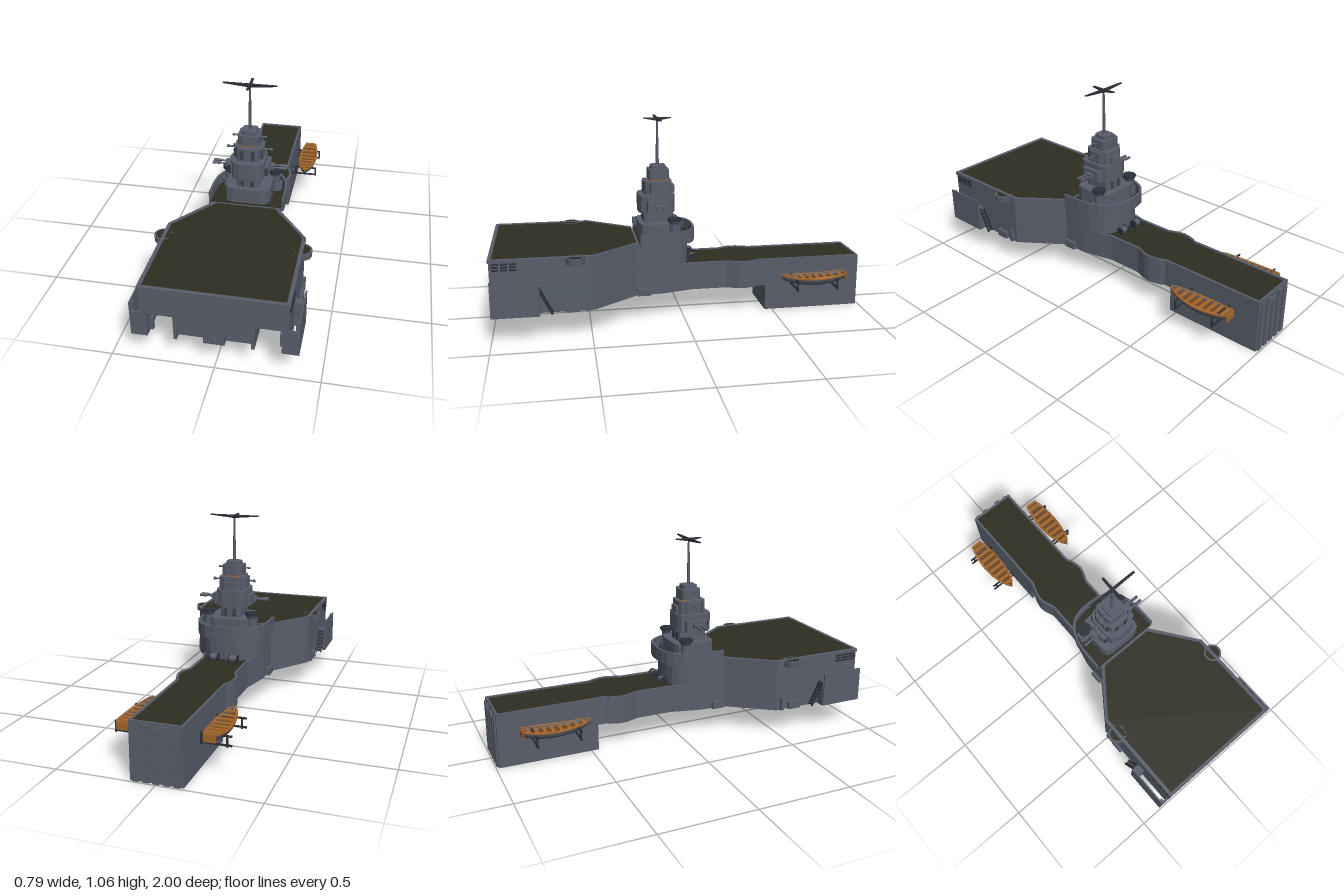
import * as THREE from 'three';

const mat = (name, color) => Object.assign(new THREE.MeshStandardMaterial({ color }), { name });

export function createModel() {
  const hullGrey = mat('hull grey', 0x575d6a);
  const deckOlive = mat('deck olive', 0x2e2d21);
  deckOlive.side = THREE.DoubleSide;
  const wood = mat('boat wood', 0xa3662b);
  const darkWood = mat('dark wood', 0x6b4524);
  const dark = mat('dark steel', 0x2c2f38);
  const boatGrey = mat('boat shell grey', 0x575d6a);
  boatGrey.side = THREE.DoubleSide;

  const model = new THREE.Group();
  let target = model;
  const add = (name, geo, m = hullGrey) => {
    const mesh = new THREE.Mesh(geo, m);
    mesh.name = name;
    target.add(mesh);
    return mesh;
  };
  // box given by its limits
  const box = (name, x0, x1, y0, y1, z0, z1, m) =>
    add(name, new THREE.BoxGeometry(Math.abs(x1 - x0), y1 - y0, z1 - z0)
      .translate((x0 + x1) / 2, (y0 + y1) / 2, (z0 + z1) / 2), m);
  const cyl = (name, r0, r1, y0, y1, x, z, m, n = 16) =>
    add(name, new THREE.CylinderGeometry(r1, r0, y1 - y0, n).translate(x, (y0 + y1) / 2, z), m);
  const barrel = (name, r, x0, x1, y, z, m) =>
    add(name, new THREE.CylinderGeometry(r, r, Math.abs(x1 - x0), 8).rotateZ(Math.PI / 2)
      .translate((x0 + x1) / 2, y, z), m);
  // horizontal slab from an [x, z] outline
  const path = pts => pts.map(([x, z]) => new THREE.Vector2(x, -z));
  const slabGeo = (pts, y0, y1, hole) => {
    const shape = new THREE.Shape(path(pts));
    if (hole) shape.holes.push(new THREE.Path(path(hole)));
    return new THREE.ExtrudeGeometry(shape, { depth: y1 - y0, bevelEnabled: false })
      .rotateX(-Math.PI / 2).translate(0, y0, 0);
  };
  const slab = (name, pts, y0, y1, m, hole) => add(name, slabGeo(pts, y0, y1, hole), m);
  const full = half => [...half, ...half.filter(p => p[0] > 0).reverse().map(([x, z]) => [-x, z])];
  const inset = (half, t, z0, z1) => half.map(([x, z]) => [x - t, Math.min(z1, Math.max(z0, z))]);
  const both = fn => [1, -1].forEach(fn);
  // wall following an outline on one side
  const strip = (name, outer, inner, y0, y1, s) =>
    slab(name, [...outer, ...[...inner].reverse()].map(([x, z]) => [x * s, z]), y0, y1);

  // long lower hull: open below, thin walls, deck inside
  const lower = [[.345, .995], [.345, .485], [.175, .25], [.17, .12], [.15, .03], [.13, -.05], [.13, -.24],
    [.142, -.27], [.154, -.3], [.158, -.33], [.154, -.36], [.142, -.4], [.13, -.42], [.13, -.985]];
  const lowerIn = inset(lower, .013, -.975, .985);
  both(s => strip('hullSideWall', lower, inset(lower, .013, -.985, .995), .14, .29, s));
  slab('lowerDeck', full(lowerIn), .276, .284, deckOlive);
  box('sternBlock', -.13, .13, 0, .274, -.985, -.46);
  box('sternRim', -.13, .13, .27, .29, -.985, -.973);
  for (let i = -2; i <= 2; i++) box('sternRib', i * .05 - .015, i * .05 + .015, 0, .262, -.994, -.98);
  both(s => box('sternCleat', s * .03, s * .06, .25, .28, -1, -.98));
  both(s => box('sternCleat', s * .09, s * .11, .25, .28, -.995, -.98));

  // raised fore hull
  const upper = [[.345, .995], [.345, .485], [.17, .25]];
  const upperIn = inset(upper, .014, .25, .982);
  slab('foreHullWall', full(upper), .275, .42, hullGrey, full(inset(upper, .014, .262, .982)));
  const rim = [[.35, 1], [.35, .483], [.172, .245]];
  slab('foreDeckRim', full(rim), .41, .426, hullGrey, full(inset(rim, .018, .25, .982)));
  slab('foreDeck', full(upperIn), .414, .422, deckOlive);

  // bow: centre block with slots, docks at the sides
  const face = new THREE.Shape([[-.19, .28], [-.19, .14], [-.175, .14], [-.175, .195], [-.05, .195], [-.05, .14],
    [.05, .14], [.05, .195], [.175, .195], [.175, .14], [.19, .14], [.19, .28]].map(p => new THREE.Vector2(...p)));
  add('bowFace', new THREE.ExtrudeGeometry(face, { depth: .035, bevelEnabled: false }).translate(0, 0, .96));
  box('bowBlock', -.19, .19, .14, .276, .7, .96);
  both(s => {
    box('bowSlot', s * .05, s * .175, .177, .195, .96, .966, dark);
    box('dockCeiling', s * .19, s * .34, .266, .276, .7, .99);
    box('dockBackWall', s * .19, s * .34, .14, .276, .69, .7);
    box('dockSideWall', s * .315, s * .34, .14, .276, .7, .99);
    box('dockPost', s * .3, s * .315, .14, .21, .93, .95);
    // side gallery beside the bow
    box('galleryFront', s * .315, s * .395, .14, .275, .985, .995);
    box('galleryOuterWall', s * .387, s * .395, .14, .325, .76, .995);
    box('galleryOuterPost', s * .375, s * .39, .14, .32, .97, .985);
    box('galleryLanding', s * .34, s * .39, .14, .275, .755, .8);
    for (let i = 0; i < 7; i++) {
      const y = .15 + i * .018, z = .695 + i * .009;
      box('stairStep', s * .355, s * .38, y, y + .006, z, z + .012, dark);
    }
    [.353, .38].forEach(x => {
      const rail = add('stairStringer', new THREE.BoxGeometry(.005, .15, .012), dark);
      rail.position.set(s * x, .21, .728);
      rail.rotation.x = .46;
    });
    // round side sponson
    cyl('sponson', .046, .048, .388, .422, s * .345, .575, hullGrey, 24);
    cyl('sponsonDeck', .037, .037, .42, .4235, s * .345, .575, deckOlive, 24);
    // louvres
    for (let r = 0; r < 3; r++) for (let c = 0; c < 3; c++)
      box('louvre', s * .34, s * .352, .368 + r * .015, .376 + r * .015, .862 + c * .043, .896 + c * .043, dark);
    // fenders along the lower edge
    box('fender', s * .34, s * .362, .14, .18, .56, .63);
    box('fender', s * .34, s * .36, .14, .21, .51, .53);
    box('fender', s * .16, s * .192, .14, .18, .18, .25);
  });

  // rounded tower base with open-fronted parapet
  const ring = [[.2, .235], [.2, .13], [.192, .06], [.172, .01], [.145, -.03], [.11, -.058], [.06, -.072], [0, -.076]];
  const shrink = (pts, k, kz = k) => pts.map(([x, z]) => [x * k, .235 + (z - .235) * kz]);
  const foot = shrink(ring, .87, .88);
  foot[0][1] = .255;
  slab('towerBase', full(foot), .284, .415);
  slab('parapetFloor', full(ring), .405, .421);
  slab('parapetDeck', full(shrink(ring, .94, .96)), .42, .424, deckOlive);
  both(s => strip('parapet', ring, shrink(ring, .94, .96), .415, .476, s));

  // chamfered prism, the basic tower storey
  const storey = (name, w, z0, z1, y0, y1, c, m) =>
    slab(name, full([[w - c, z1], [w - .28 * c, z1 - .28 * c], [w, z1 - c], [w, z0 + c],
      [w - .28 * c, z0 + .28 * c], [w - c, z0]]), y0, y1, m);
  storey('towerHouse', .12, 0, .225, .42, .506, .045);
  storey('towerNeck', .058, .04, .2, .5, .565, .02);
  storey('gunStoreyCore', .086, .03, .225, .56, .655, .045);
  storey('gunStorey', .108, .06, .185, .57, .628, .015);
  storey('bridgeStorey', .062, .045, .195, .65, .727, .025);
  storey('bridgeWings', .076, .07, .165, .66, .722, .015);
  storey('woodBand', .04, .065, .165, .722, .742, .02, wood);
  storey('lookoutStorey', .058, .06, .17, .735, .788, .025);
  storey('towerCap', .038, .075, .155, .785, .808, .015);
  both(s => {
    // window slots
    for (let i = 0; i < 4; i++) {
      const y = .512 + i * .011, y2 = .668 + i * .013;
      box('neckSlot', s * .016, s * .035, y, y + .006, .199, .203, dark);
      box('neckSlot', s * .016, s * .035, y, y + .006, .037, .041, dark);
      box('bridgeSlot', s * .02, s * .037, y2, y2 + .007, .194, .198, dark);
      box('bridgeWingSlot', s * .063, s * .074, y2, y2 + .007, .164, .168, dark);
      box('gunStoreySlot', s * .088, s * .104, y + .067, y + .073, .184, .188, dark);
    }
    // side guns on three storeys
    [-.014, .014].forEach(dz => barrel('heavyGun', .005, s * .1, s * .17, .602, .12 + dz));
    box('heavyGunMount', s * .1, s * .13, .592, .612, .095, .145);
    barrel('heavyGunTip', .008, s * .16, s * .197, .602, .134);
    barrel('heavyGunTip', .008, s * .16, s * .197, .602, .106);
    barrel('mediumGun', .005, s * .07, s * .115, .7, .12);
    barrel('mediumGunTip', .008, s * .108, s * .12, .7, .12);
    barrel('lightGun', .0045, s * .05, s * .09, .77, .12);
    barrel('lightGunTip', .006, s * .08, s * .09, .77, .12);
    // flared observation posts
    cyl('postDrum', .034, .034, .42, .465, s * .13, .045);
    cyl('postStem', .026, .026, .46, .515, s * .125, .045);
    cyl('postFlare', .026, .036, .512, .53, s * .125, .045);
    cyl('postRim', .037, .037, .53, .54, s * .125, .045, dark);
    // winches on the lower deck
    barrel('winch', .02, s * .035, s * .075, .303, -.065);
    barrel('winchFlange', .023, s * .03, s * .036, .303, -.065, dark);
    barrel('winchFlange', .023, s * .074, s * .08, .303, -.065, dark);
  });
  box('rearCabinet', -.03, .03, .66, .7, .03, .05);

  // mast with crossed yards
  cyl('mast', .009, .005, .8, 1.045, 0, .117, hullGrey, 10);
  const yard = (half, turn) => {
    const tri = new THREE.Shape([[-half, 1.058], [-half, 1.054], [0, 1.041], [half, 1.054], [half, 1.058]]
      .map(p => new THREE.Vector2(...p)));
    const mesh = add('yard', new THREE.ExtrudeGeometry(tri, { depth: .012, bevelEnabled: false })
      .translate(0, 0, -.006).rotateY(turn), dark);
    mesh.position.z = .117;
  };
  yard(.138, 0);
  yard(.073, Math.PI / 2);

  // lifeboats: shell lofted from cross-sections, wooden fittings
  const N = 14, M = 8, z0 = -.88, len = .355;
  const beam = t => .054 * Math.pow(Math.sin(Math.PI * (.12 + .88 * t)), .55);
  const sheer = t => .204 + .018 * Math.pow(2 * t - 1, 2);
  const outline = k => full(Array.from({ length: N + 1 }, (_, i) =>
    [Math.max(.002, beam(i / N) * k), z0 + len * (.5 + (i / N - .5) * (k < 1 ? .95 : 1))]));
  const bend = geo => {
    const p = geo.attributes.position;
    for (let i = 0; i < p.count; i++) p.setY(i, p.getY(i) + sheer((p.getZ(i) - z0) / len));
    geo.computeVertexNormals();
    return geo;
  };
  both(s => {
    target = new THREE.Group();
    target.name = 'lifeboat';
    target.position.x = s * .213;
    model.add(target);
    const pos = [], idx = [];
    for (let i = 0; i <= N; i++) for (let j = 0; j <= M; j++) {
      const t = i / N, a = Math.PI * j / M;
      const depth = .045 * Math.pow(Math.sin(Math.PI * (.15 + .8 * t)), .4);
      pos.push(Math.max(.002, beam(t)) * Math.cos(a), sheer(t) - depth * Math.sin(a), z0 + len * t);
      if (i < N && j < M) {
        const k = i * (M + 1) + j;
        idx.push(k, k + M + 1, k + 1, k + 1, k + M + 1, k + M + 2);
      }
    }
    const shell = new THREE.BufferGeometry();
    shell.setAttribute('position', new THREE.Float32BufferAttribute(pos, 3));
    shell.setIndex(idx);
    shell.computeVertexNormals();
    add('boatShell', shell, boatGrey);
    add('boatGunwale', bend(slabGeo(outline(1.03), -.004, .004, outline(.8))), wood);
    add('boatFloor', bend(slabGeo(outline(.86), -.018, -.014)), darkWood);
    for (let i = 0; i < 8; i++) {
      const t = .09 + i * .115, w = beam(t) * .92;
      box('boatBench', -w, w, sheer(t) - .008, sheer(t) - .002, z0 + len * t - .009, z0 + len * t + .009, wood);
    }
    box('boatTransom', -.03, .03, .185, .22, z0 - .003, z0 + .004, wood);
    // davits
    [-.82, -.6].forEach(z => {
      box('davitArm', -.085, .066, .195, .203, z - .004, z + .004, dark);
      box('davitPost', .058, .066, .145, .203, z - .004, z + .004, dark);
      box('davitPost', -.066, -.058, .145, .203, z - .004, z + .004, dark);
      box('davitCradle', -.085, .066, .15, .158, z - .004, z + .004, dark);
    });
  });
  return model;
}
